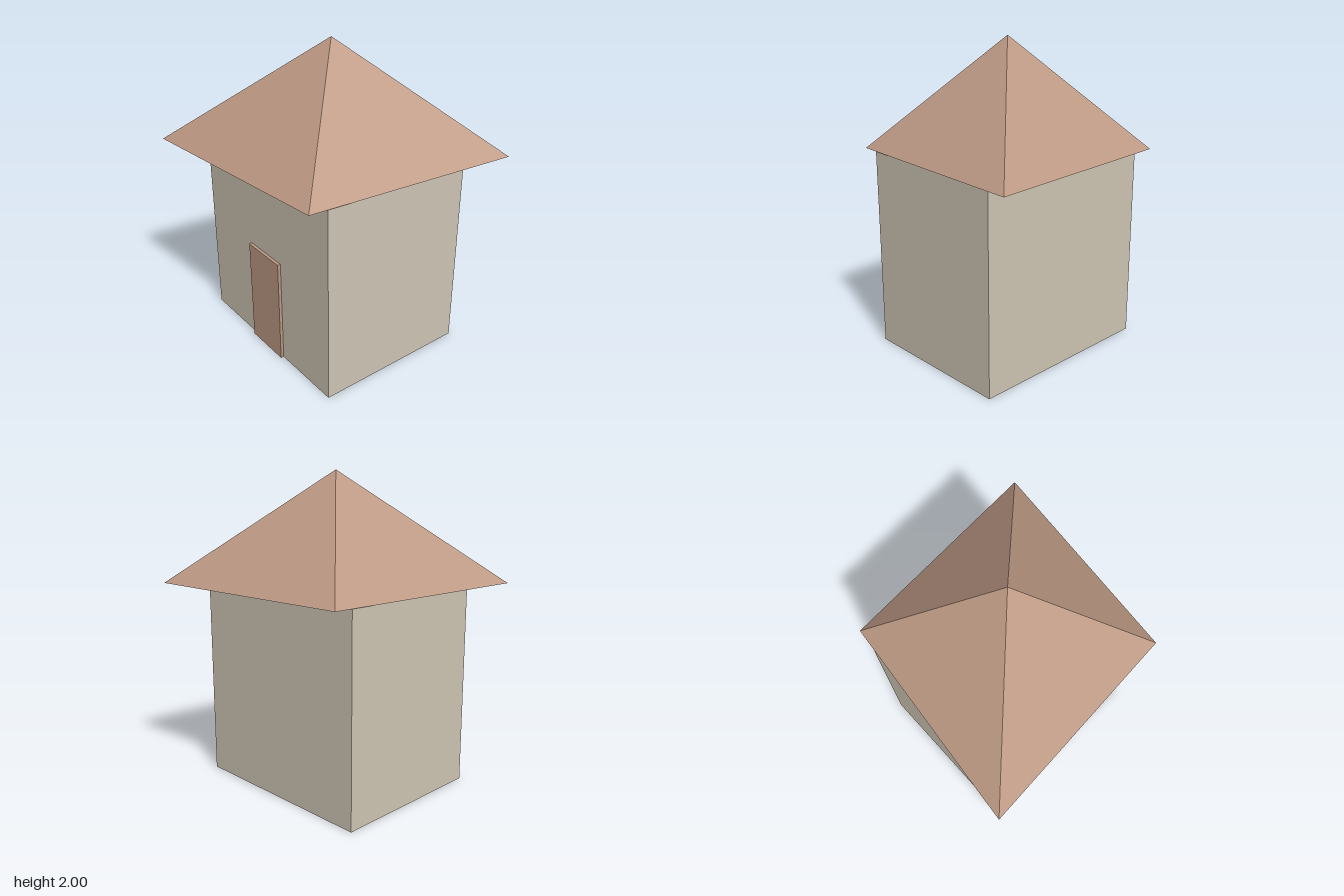
import * as THREE from 'three';

export function createModel() {
  const model = new THREE.Group();
  const plaster = new THREE.MeshStandardMaterial({ color: 0xcdc3b2 });
  plaster.name = 'plaster';
  const terracotta = new THREE.MeshStandardMaterial({ color: 0xbd9984 });
  terracotta.name = 'terracotta';

  const add = (name, geometry, material, x, y, z) => {
    const mesh = new THREE.Mesh(geometry, material);
    mesh.name = name;
    mesh.position.set(x, y, z);
    model.add(mesh);
  };

  const wallHeight = 1.294;
  const roofHeight = 2 - wallHeight;

  // Plain box of walls
  add('walls', new THREE.BoxGeometry(1.287, wallHeight, 1.03), plaster, 0, wallHeight / 2, 0);

  // Door panel, set half into the front wall
  add('door', new THREE.BoxGeometry(0.324, 0.71, 0.04), terracotta, 0, 0.355, 0.515);

  // Four-sided roof: stretched along one diagonal, then turned so its corners overhang the walls
  const roof = new THREE.ConeGeometry(1, roofHeight, 4)
    .scale(1.093, 1, 0.9)
    .rotateY(Math.PI / 4)
    .toNonIndexed();
  roof.computeVertexNormals();
  add('roof', roof, terracotta, 0, wallHeight + roofHeight / 2, 0);

  return model;
}
